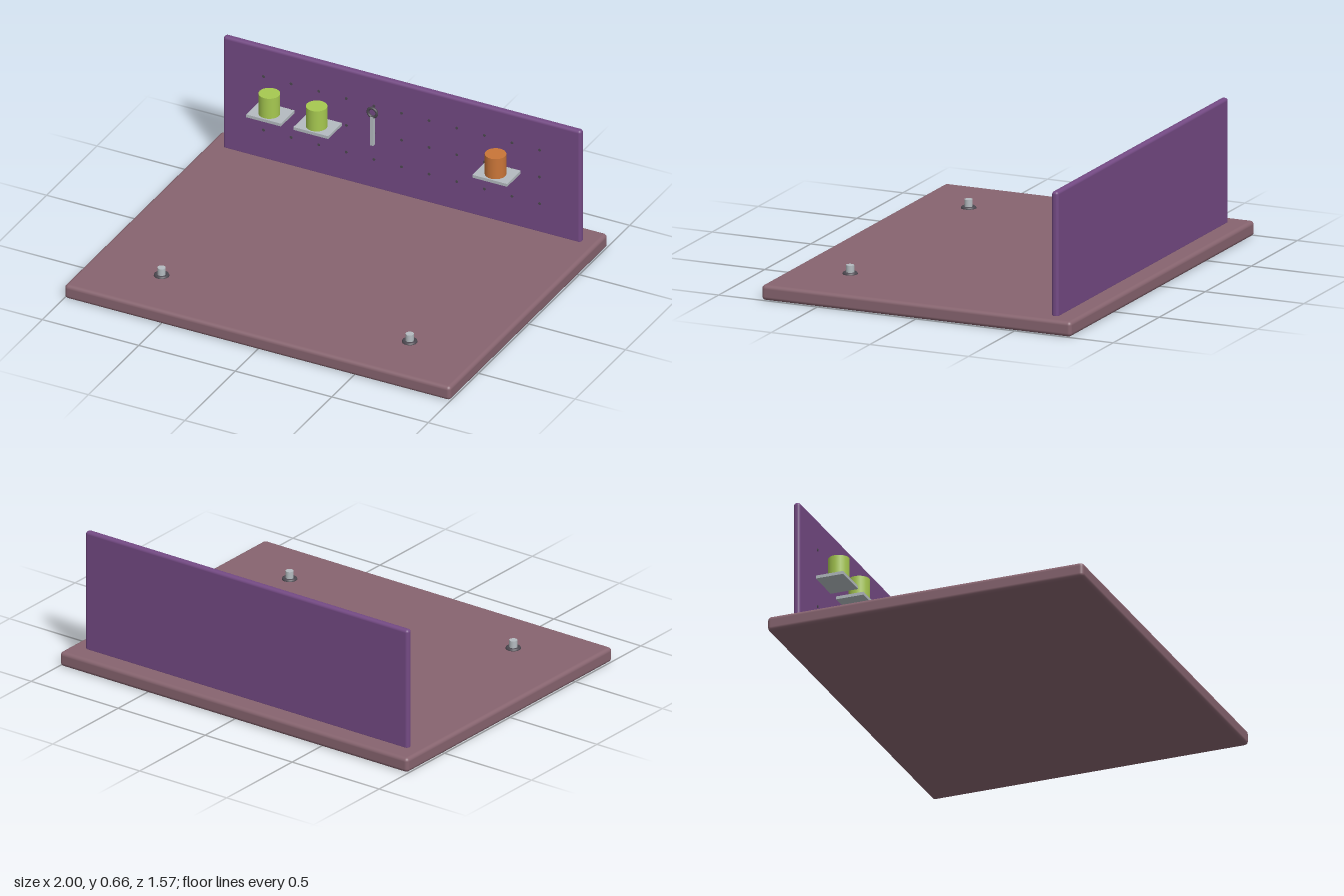
import * as THREE from 'three';
import { RoundedBoxGeometry } from 'three/addons/geometries/RoundedBoxGeometry.js';

const material = (name, color) => {
  const m = new THREE.MeshStandardMaterial({ color });
  m.name = name;
  return m;
};

export function createModel() {
  const mauve = material('mauve', 0x87646f);
  const purple = material('purple', 0x744a84);
  const steel = material('steel', 0xb4bbc0);
  const darkMetal = material('dark metal', 0x4c4850);
  const lime = material('lime', 0xa6c850);
  const orange = material('orange', 0xc97538);

  const model = new THREE.Group();
  model.name = 'workbenchTop';

  const add = (name, geometry, mat, x, y, z, parent = model) => {
    const mesh = new THREE.Mesh(geometry, mat);
    mesh.name = name;
    mesh.position.set(x, y, z);
    parent.add(mesh);
    return mesh;
  };
  const group = (name, x, y, z) => {
    const g = new THREE.Group();
    g.name = name;
    g.position.set(x, y, z);
    model.add(g);
    return g;
  };

  // Bench top and upright pegboard
  const top = 0.072;
  add('benchTop', new RoundedBoxGeometry(2, top, 1.57, 4, 0.018), mauve, 0, top / 2, 0);
  add('pegboard', new RoundedBoxGeometry(1.854, 0.602, 0.034, 4, 0.014), purple, 0, 0.362, -0.669);

  // Grid of peg holes, 11 by 3
  const hole = new THREE.CylinderGeometry(0.007, 0.007, 0.01, 10).rotateX(Math.PI / 2);
  for (const y of [0.222, 0.365, 0.508]) {
    for (let i = -5; i <= 5; i++) add('pegHole', hole, darkMetal, i * 0.143, y, -0.654);
  }

  // Shelves, each holding a jar
  const plate = new THREE.BoxGeometry(0.18, 0.015, 0.138);
  const can = new THREE.CylinderGeometry(0.05, 0.05, 0.107, 24);
  for (const [x, color] of [[-0.645, lime], [-0.4, lime], [0.527, orange]]) {
    const shelf = group('shelf', x, 0.363, -0.585);
    add('shelfPlate', plate, steel, 0, 0, 0, shelf);
    add('jar', can, color, 0, 0.061, 0.011, shelf);
  }

  // Hanging ring spanner
  const spanner = group('spanner', -0.143, 0, -0.635);
  add('spannerHandle', new THREE.BoxGeometry(0.017, 0.152, 0.016), steel, 0, 0.384, 0, spanner);
  add('spannerRing', new THREE.TorusGeometry(0.023, 0.007, 8, 20), darkMetal, 0, 0.481, 0, spanner);

  // Bench dogs with dark collars
  const post = new THREE.CylinderGeometry(0.019, 0.019, 0.042, 20);
  const collar = new THREE.TorusGeometry(0.026, 0.01, 10, 28).rotateX(Math.PI / 2);
  for (const side of [-1, 1]) {
    const dog = group(side > 0 ? 'leftBenchDog' : 'rightBenchDog', side * 0.643, top, 0.5);
    add('dogPost', post, steel, 0, 0.021, 0, dog);
    add('dogCollar', collar, darkMetal, 0, 0, 0, dog);
  }

  return model;
}
